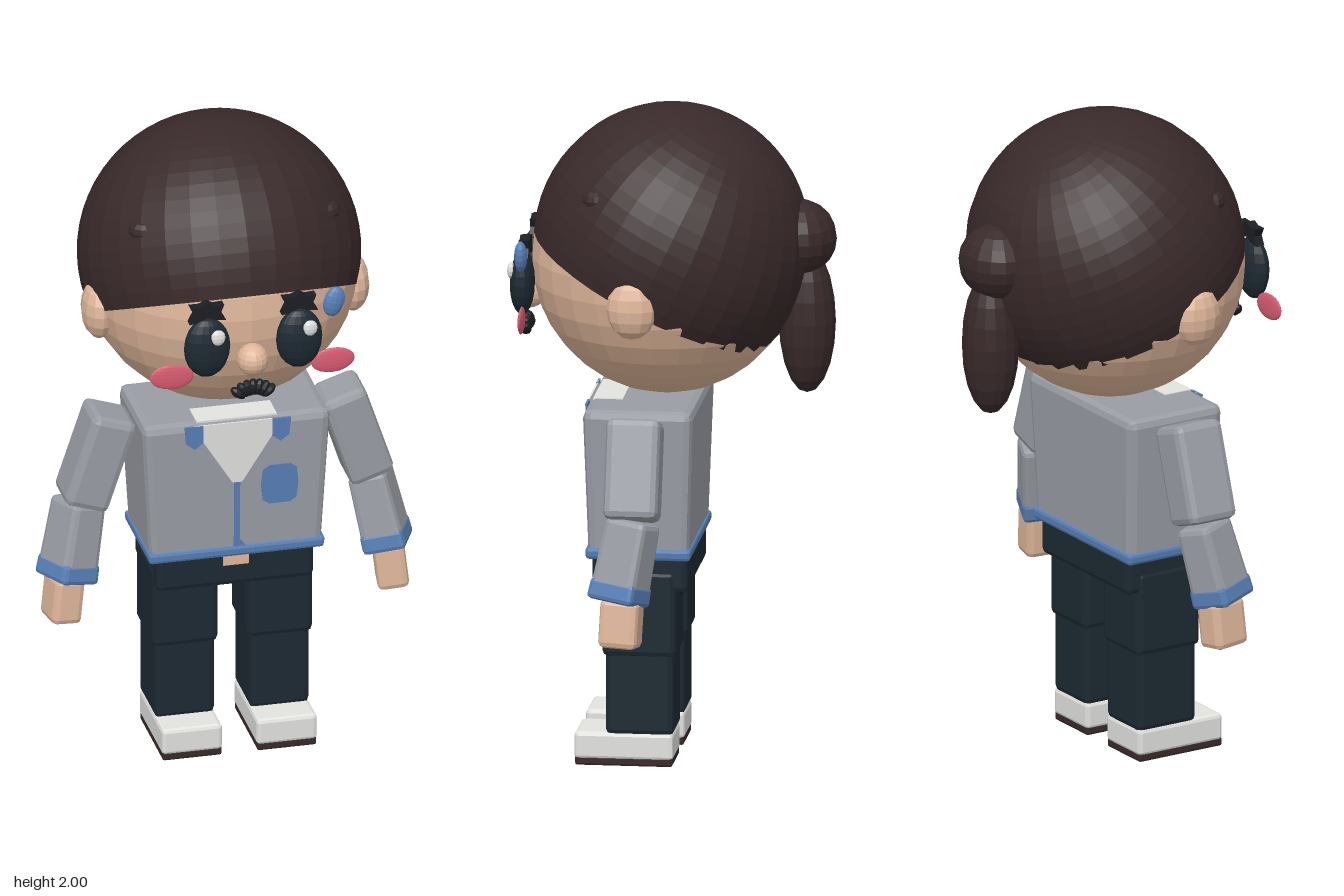
import * as THREE from 'three';
import { RoundedBoxGeometry } from 'three/addons/geometries/RoundedBoxGeometry.js';

const makeMaterial = (name, color) => {
  const m = new THREE.MeshStandardMaterial({ color });
  m.name = name;
  return m;
};

// Faceted normals for the low-poly look
function faceted(geometry) {
  const g = geometry.index ? geometry.toNonIndexed() : geometry;
  g.computeVertexNormals();
  return g;
}

export function createModel() {
  const model = new THREE.Group();
  model.name = 'standingFigure';
  const skin = makeMaterial('skin', 0xe0b79b);
  const hair = makeMaterial('brown hair', 0x39292a);
  const grey = makeMaterial('grey jacket', 0x999da4);
  const blue = makeMaterial('blue trim', 0x5880b8);
  const white = makeMaterial('off white', 0xe2e2df);
  const navy = makeMaterial('dark navy', 0x1d2932);
  const black = makeMaterial('black', 0x1b1e23);
  const pink = makeMaterial('pink', 0xd95c72);

  const add = (parent, name, geometry, material, pos = [0, 0, 0], rot = [0, 0, 0]) => {
    const mesh = new THREE.Mesh(faceted(geometry), material);
    mesh.name = name;
    mesh.position.set(...pos);
    mesh.rotation.set(...rot);
    parent.add(mesh);
    return mesh;
  };
  const addGroup = (parent, name, pos = [0, 0, 0], rot = [0, 0, 0]) => {
    const g = new THREE.Group();
    g.name = name;
    g.position.set(...pos);
    g.rotation.set(...rot);
    parent.add(g);
    return g;
  };
  const ball = (rx, ry, rz, w = 16, h = 10) => new THREE.SphereGeometry(1, w, h).scale(rx, ry, rz);
  // Bevelled box, its bottom scaled by the taper
  const block = (w, h, d, r = 0.018, taper = 1) => {
    const g = new RoundedBoxGeometry(w, h, d, 1, r);
    const p = g.attributes.position;
    for (let i = 0; i < p.count; i++) {
      const s = taper + (1 - taper) * (p.getY(i) / h + 0.5);
      p.setX(i, p.getX(i) * s);
      p.setZ(i, p.getZ(i) * s);
    }
    return g;
  };
  const plate = (points, depth) => new THREE.ExtrudeGeometry(
    new THREE.Shape(points.map(([x, y]) => new THREE.Vector2(x, y))),
    { depth, bevelEnabled: false });

  // Head and hair cap, cut on a plane sloping down to the nape
  const head = addGroup(model, 'head');
  add(head, 'face', ball(0.419, 0.417, 0.41, 28, 18), skin, [0, 1.535, 0.02]);
  const cutAngle = 1.92, capR = 0.43;
  const rimR = capR * Math.sin(cutAngle), rimY = capR * Math.cos(cutAngle);
  const tilt = (g) => g.rotateX(-0.455).scale(1, 1, 0.977);
  const cap = new THREE.SphereGeometry(capR, 32, 18, 0, Math.PI * 2, 0, cutAngle);
  add(head, 'hairCap', tilt(cap), hair, [0, 1.57, 0.006]);
  // Rim closing the gap between cap and face
  const rim = new THREE.RingGeometry(rimR - 0.05, rimR, 32).rotateX(Math.PI / 2).translate(0, rimY, 0);
  add(head, 'hairRim', tilt(rim), hair, [0, 1.57, 0.006]);
  add(head, 'hairBun', ball(0.128, 0.115, 0.115), hair, [0, 1.6, -0.38]);
  add(head, 'ponytail', ball(0.09, 0.225, 0.087), hair, [0, 1.345, -0.405]);
  add(head, 'nose', ball(0.048, 0.05, 0.05), skin, [0, 1.41, 0.438]);

  const browPoints = [[-0.055, -0.035], [-0.04, -0.005], [-0.053, 0.02], [-0.022, 0.02], [0, 0.03],
    [0.022, 0.02], [0.052, 0.022], [0.042, -0.003], [0.058, -0.03], [0.03, -0.027], [0, -0.017], [-0.03, -0.03]]
    .reverse();
  for (const [side, s] of [['left', 1], ['right', -1]]) {
    add(head, side + 'Ear', ball(0.052, 0.093, 0.077, 12, 8), skin, [s * 0.394, 1.455, 0.082]);
    add(head, side + 'HairBump', ball(0.045, 0.032, 0.032, 10, 6), hair, [s * 0.29, 1.766, 0.212], [0, s * 0.7, 0]);
    add(head, side + 'Eye', ball(0.072, 0.098, 0.038), navy, [s * 0.143, 1.47, 0.444]);
    add(head, side + 'EyeGlint', ball(0.023, 0.026, 0.012, 10, 6), white, [s * 0.143 + 0.027, 1.513, 0.475]);
    add(head, side + 'Eyebrow', plate(browPoints, 0.03), black, [s * 0.143, 1.588, 0.42]);
    add(head, side + 'Cheek', ball(0.068, 0.041, 0.009), pink, [s * 0.25, 1.377, 0.434], [0, 0, s * 0.05]);
  }
  add(head, 'hairClip', ball(0.033, 0.05, 0.02, 12, 8), blue, [0.253, 1.575, 0.436], [0, 0, -0.25]);

  // Moustache: arched row of small lumps
  const moustache = addGroup(head, 'moustache', [0, 1.315, 0.445]);
  for (let i = -3; i <= 3; i++) {
    add(moustache, 'moustacheLump', ball(0.016, 0.027, 0.018, 8, 6), black,
      [i * 0.0155, 0.006 - i * i * 0.0018, 0], [0, 0, -i * 0.3]);
  }

  // Jacket with hem, shirt front and trim
  const torso = addGroup(model, 'torso', [0, 0, 0.078]);
  add(torso, 'jacket', block(0.585, 0.455, 0.335, 0.025, 0.91), grey, [0, 0.8835, 0]);
  add(torso, 'jacketHem', block(0.55, 0.036, 0.322, 0.01, 0.985), blue, [0, 0.664, 0]);
  const front = addGroup(torso, 'jacketFront', [0, 0.65, 0.1525], [0.0332, 0, 0]);
  add(front, 'shirtFront', plate([[-0.142, 0.455], [-0.015, 0.25], [0.015, 0.25], [0.142, 0.455]], 0.005),
    white, [0, 0, -0.002]);
  add(front, 'placket', plate([[-0.009, 0.02], [0.009, 0.02], [0.009, 0.25], [-0.009, 0.25]], 0.005),
    blue, [0, 0, -0.002]);
  add(front, 'placketFoot', plate([[0.009, 0.02], [0.035, 0.02], [0.009, 0.055]], 0.005), blue, [0, 0, -0.002]);
  const pocket = new THREE.Shape();
  pocket.absellipse(0, 0, 0.058, 0.067, 0, Math.PI * 2);
  const pocketPoints = pocket.getPoints(5).slice(0, -1).map(({ x, y }) =>
    [Math.sign(x) * 0.058 * Math.sqrt(Math.abs(x) / 0.058), Math.sign(y) * 0.067 * Math.sqrt(Math.abs(y) / 0.067)]);
  add(front, 'pocket', plate(pocketPoints, 0.005), blue, [0.132, 0.23, -0.002]);
  for (const s of [-1, 1]) {
    const tab = [[0.107, 0.398], [0.133, 0.377], [0.16, 0.398], [0.165, 0.455], [0.108, 0.455]];
    const points = tab.map(([x, y]) => [s * x, y]);
    add(front, s > 0 ? 'leftCollarTab' : 'rightCollarTab', plate(s > 0 ? points : points.reverse(), 0.007), blue,
      [0, 0, -0.002]);
  }
  add(torso, 'shirtNeck', new THREE.BoxGeometry(0.25, 0.006, 0.09), white, [0, 1.11, 0.108]);

  // Hips and belt buckle
  add(model, 'hips', block(0.49, 0.125, 0.29), navy, [0, 0.603, 0.075]);
  add(model, 'beltBuckle', new THREE.BoxGeometry(0.08, 0.04, 0.009), skin, [0, 0.634, 0.222]);

  for (const [side, s] of [['left', 1], ['right', -1]]) {
    // Leg and shoe
    const leg = addGroup(model, side + 'Leg', [s * 0.147, 0, 0.077]);
    add(leg, 'thigh', block(0.203, 0.27, 0.226), navy, [0, 0.475, 0]);
    add(leg, 'shin', block(0.186, 0.27, 0.207), navy, [0, 0.23, 0]);
    add(leg, 'shoe', block(0.188, 0.085, 0.3, 0.012), white, [0, 0.061, 0.048]);
    add(leg, 'sole', block(0.184, 0.03, 0.296, 0.007), hair, [0, 0.015, 0.048]);

    // Arm, bent slightly forward at the elbow
    const arm = addGroup(model, side + 'Arm');
    add(arm, 'upperArm', block(0.142, 0.305, 0.165, 0.022), grey, [s * 0.4, 0.957, 0.075], [0, 0, s * 0.32]);
    const forearm = addGroup(arm, 'forearm', [s * 0.475, 0.692, 0.09], [-0.09, s * -0.4, s * 0.22]);
    add(forearm, 'sleeve', block(0.118, 0.25, 0.137, 0.018, 1.12), grey);
    add(forearm, 'cuff', block(0.131, 0.066, 0.152, 0.014, 1.03), blue, [0, -0.095, 0]);
    add(arm, 'hand', block(0.096, 0.15, 0.12, 0.018), skin, [s * 0.508, 0.508, 0.1], [-0.03, s * -0.15, s * 0.11]);
  }
  return model;
}
